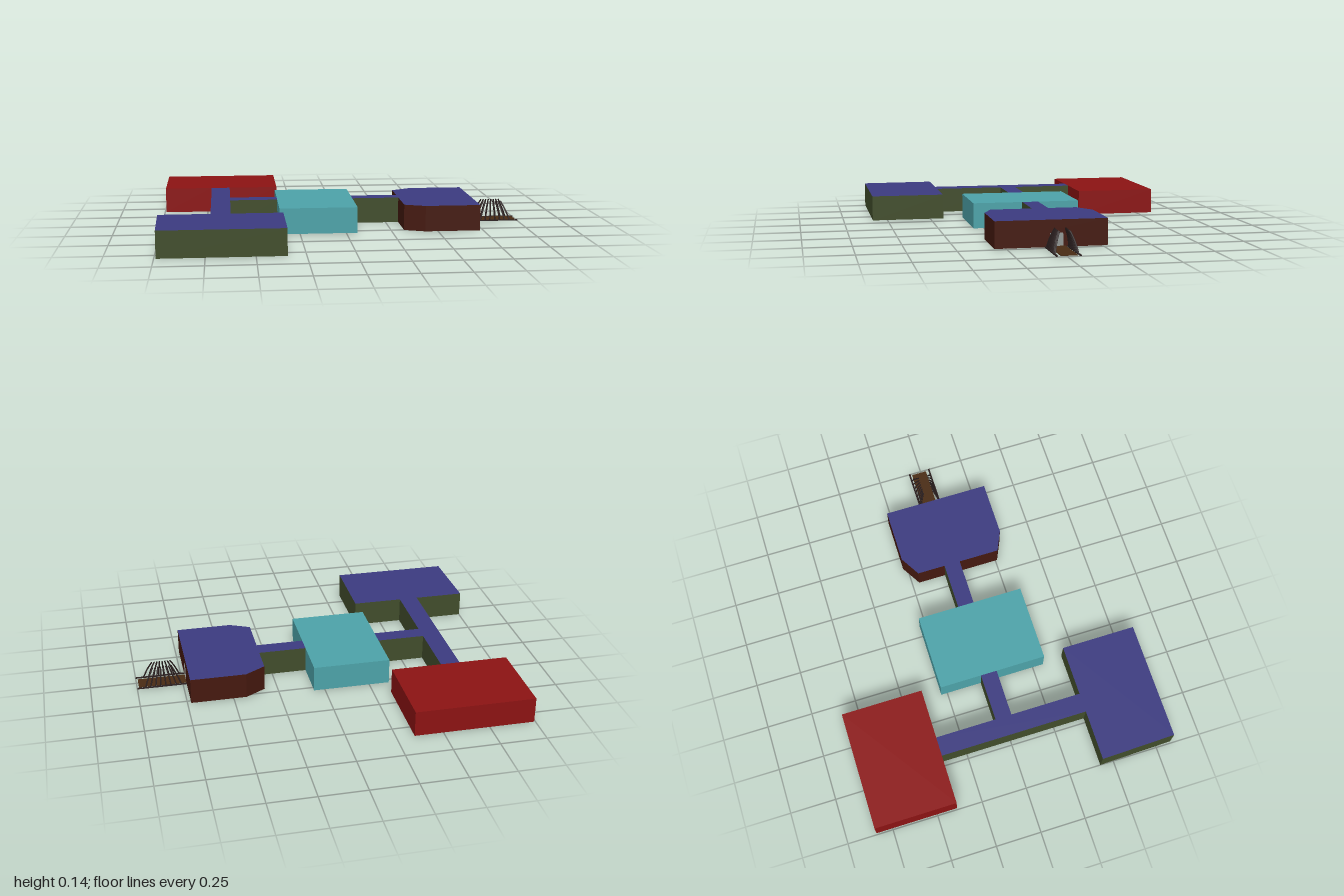
import * as THREE from 'three';

const H = 0.14, FLOOR = 0.003, MID = -0.008;
const OLIVE = 0x414d2b, BLUE = 0x3c3b80, RED = 0x8c1313, TEAL = 0x4da3a9;
const MAROON = 0x45190f, GREY = 0x858a88, WOOD = 0x4a2c14, DARK = 0x2c2020;

const mat = (color) => new THREE.MeshStandardMaterial({ color, side: THREE.DoubleSide });

function add(parent, name, geometry, color) {
  const mesh = new THREE.Mesh(geometry, mat(color));
  mesh.name = name;
  parent.add(mesh);
  return mesh;
}

// Flat slab outline in the ground plane, at height y
function slab(points, y) {
  const shape = new THREE.Shape(points.map(([x, z]) => new THREE.Vector2(x, -z)));
  return new THREE.ShapeGeometry(shape).rotateX(-Math.PI / 2).translate(0, y, 0);
}

// Upright wall panels along a polyline of [x, z] points
function walls(points) {
  const pos = [];
  for (let i = 0; i < points.length - 1; i++) {
    const [ax, az] = points[i], [bx, bz] = points[i + 1];
    pos.push(ax, 0, az, bx, 0, bz, bx, H, bz, ax, 0, az, bx, H, bz, ax, H, az);
  }
  const g = new THREE.BufferGeometry();
  g.setAttribute('position', new THREE.Float32BufferAttribute(pos, 3));
  g.computeVertexNormals();
  return g;
}

// A hollow room: floor, ceiling and wall runs that leave the doorways open.
// Outlines run counter-clockwise as seen from above.
function room(parent, name, outline, runs, wallColor, roofColor) {
  const g = new THREE.Group();
  g.name = name;
  add(g, 'floor', slab(outline, FLOOR), GREY);
  add(g, 'ceiling', slab(outline, H), roofColor);
  runs.forEach((run) => add(g, 'wall', walls(run), wallColor));
  parent.add(g);
  return g;
}

const rect = (x0, x1, z0, z1) => [[x0, z1], [x1, z1], [x1, z0], [x0, z0]];

export function createModel() {
  const model = new THREE.Group();
  model.name = 'floorPlan';

  const zA = -0.055, zB = 0.035; // long corridor sides
  const xA = -0.725, xB = -0.62; // cross corridor sides

  // Back room
  room(model, 'redRoom', rect(-0.992, -0.345, -0.84, -0.39),
    [[[xB, -0.39], [-0.345, -0.39], [-0.345, -0.84], [-0.992, -0.84], [-0.992, -0.39], [xA, -0.39]]],
    RED, RED);

  // Front room, with its slightly slanted outer wall
  room(model, 'blueRoom', [[-0.99, 0.835], [-0.345, 0.835], [-0.345, 0.425], [-1, 0.425]],
    [[[xA, 0.425], [-1, 0.425], [-0.99, 0.835], [-0.345, 0.835], [-0.345, 0.425], [xB, 0.425]]],
    OLIVE, BLUE);

  // Middle room
  room(model, 'tealRoom', rect(-0.36, 0.06, -0.285, 0.31),
    [[[-0.36, zB], [-0.36, 0.31], [0.06, 0.31], [0.06, zB]],
      [[0.06, zA], [0.06, -0.285], [-0.36, -0.285], [-0.36, zA]]],
    TEAL, TEAL);

  // Corridors
  room(model, 'crossCorridor', rect(xA, xB, -0.39, 0.425),
    [[[xA, -0.39], [xA, 0.425]], [[xB, 0.425], [xB, zB]], [[xB, zA], [xB, -0.39]]], OLIVE, BLUE);
  [[xB, -0.36], [0.06, 0.32]].forEach(([x0, x1]) =>
    room(model, 'corridor', rect(x0, x1, zA, zB),
      [[[x0, zB], [x1, zB]], [[x1, zA], [x0, zA]]], OLIVE, BLUE));

  // Entrance hall with two cut corners
  const hall = room(model, 'entranceHall',
    [[0.32, 0.26], [0.43, 0.31], [0.73, 0.31], [0.73, -0.275], [0.43, -0.275], [0.32, -0.21]],
    [[[0.32, zB], [0.32, 0.26], [0.43, 0.31], [0.73, 0.31]],
      [[0.73, -0.275], [0.43, -0.275], [0.32, -0.21], [0.32, zA]]],
    MAROON, BLUE);

  // Entrance wall with an arched doorway
  const r = 0.035;
  const face = new THREE.Shape();
  face.moveTo(-0.31, 0);
  face.lineTo(-MID - r, 0);
  face.lineTo(-MID - r, 0.06);
  face.absarc(-MID, 0.06, r, Math.PI, 0, true);
  face.lineTo(-MID + r, 0);
  face.lineTo(0.275, 0);
  face.lineTo(0.275, H);
  face.lineTo(-0.31, H);
  add(hall, 'archedWall', new THREE.ShapeGeometry(face, 8).rotateY(Math.PI / 2).translate(0.73, 0, 0), MAROON);

  // Walkway with side rails and fanned, inward-curving ribs
  const bridge = new THREE.Group();
  bridge.name = 'walkway';
  model.add(bridge);
  add(bridge, 'deck', new THREE.BoxGeometry(0.26, 0.004, 0.085), WOOD).position.set(0.86, 0.003, -0.012);
  const RIBS = 8;
  for (const s of [-1, 1]) {
    add(bridge, 'rail', new THREE.BoxGeometry(0.27, 0.005, 0.009), DARK)
      .position.set(0.865, 0.0025, MID + s * 0.059);
    for (let i = 0; i < RIBS; i++) {
      const t = i / (RIBS - 1) - 0.5;
      const path = new THREE.CatmullRomCurve3([
        new THREE.Vector3(0.857 + t * 0.2, 0, MID + s * 0.059),
        new THREE.Vector3(0.857 + t * 0.15, 0.06, MID + s * 0.046),
        new THREE.Vector3(0.857 + t * 0.1, 0.108, MID + s * 0.028),
      ]);
      add(bridge, 'rib', new THREE.TubeGeometry(path, 6, 0.0042, 5), DARK);
    }
  }
  return model;
}
